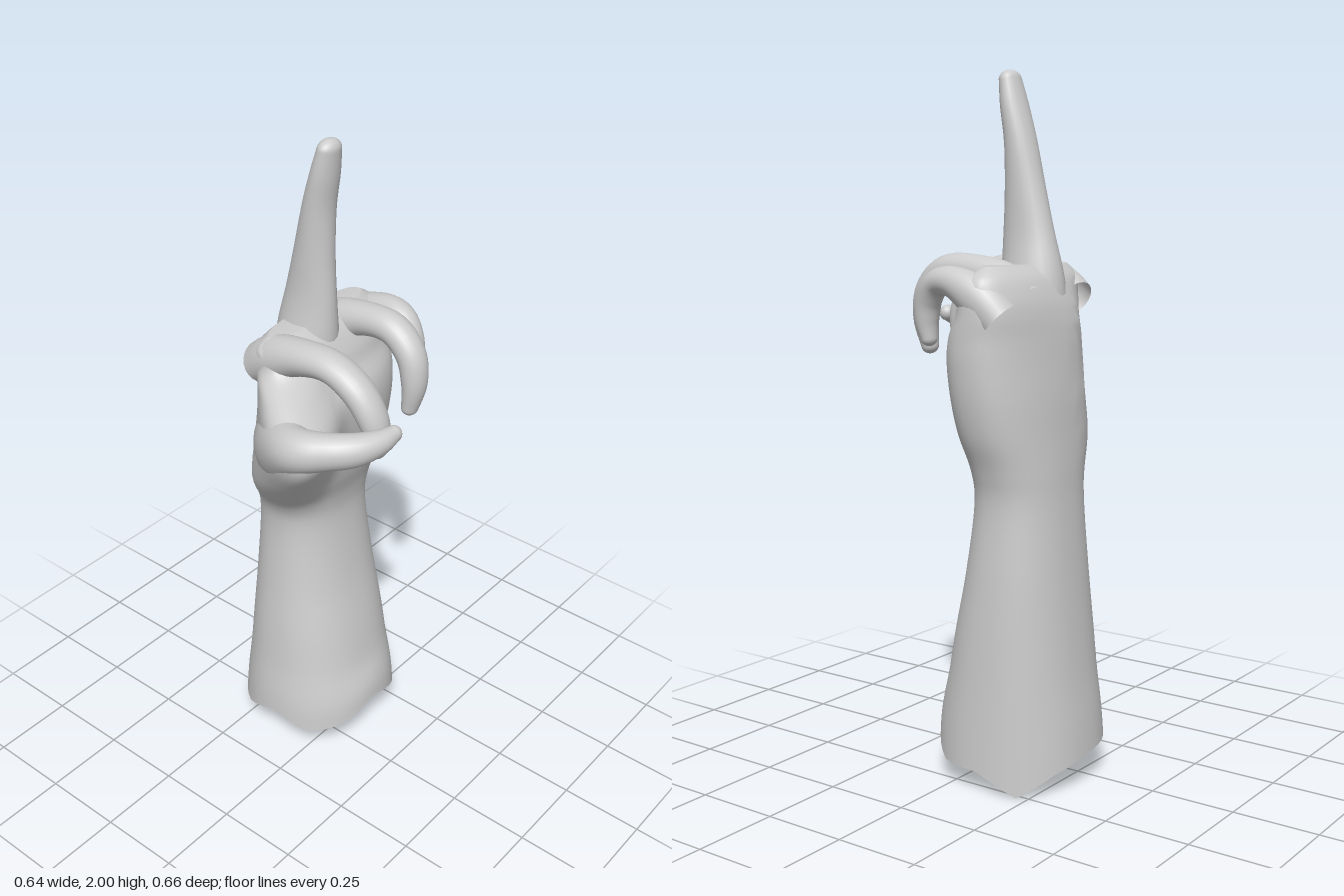
import * as THREE from 'three';

const material = new THREE.MeshStandardMaterial({ color: 0xcccccc, roughness: 0.8, side: THREE.DoubleSide });

// Joins equally sized rings of Vector3 into a smooth skin, closed at the end
function skin(name, rings) {
  const n = rings[0].length, verts = [], index = [];
  rings.forEach(ring => ring.forEach(p => verts.push(p.x, p.y, p.z)));
  for (let i = 0; i < rings.length - 1; i++) {
    for (let j = 0; j < n; j++) {
      const a = i * n + j, b = i * n + (j + 1) % n;
      index.push(a, a + n, b, b, a + n, b + n);
    }
  }
  const last = rings[rings.length - 1], centre = new THREE.Vector3();
  last.forEach(p => centre.addScaledVector(p, 1 / n));
  verts.push(centre.x, centre.y, centre.z);
  const base = (rings.length - 1) * n;
  for (let j = 0; j < n; j++) index.push(base + j, rings.length * n, base + (j + 1) % n);
  const geometry = new THREE.BufferGeometry();
  geometry.setAttribute('position', new THREE.Float32BufferAttribute(verts, 3));
  geometry.setIndex(index);
  geometry.computeVertexNormals();
  const mesh = new THREE.Mesh(geometry, material);
  mesh.name = name;
  return mesh;
}

// Smooth interpolation of one column of a table of rows
function sample(rows, column, t) {
  const f = t * (rows.length - 1), i = Math.min(Math.floor(f), rows.length - 2), u = f - i;
  const at = k => rows[Math.max(0, Math.min(rows.length - 1, k))][column];
  const [a, b, c, d] = [at(i - 1), at(i), at(i + 1), at(i + 2)];
  return b + 0.5 * u * (c - a + u * (2 * a - 5 * b + 4 * c - d + u * (3 * (b - c) + d - a)));
}

// Tapered digit; rows are x, y, z, thickness radius, width radius
function digit(name, rows, widthAxis) {
  const n = 24, steps = 36, rings = [];
  const centre = t => new THREE.Vector3(sample(rows, 0, t), sample(rows, 1, t), sample(rows, 2, t));
  const ring = (p, tangent, rU, rV) => {
    const v = widthAxis.clone().addScaledVector(tangent, -widthAxis.dot(tangent)).normalize();
    const u = tangent.clone().cross(v);
    return Array.from({ length: n }, (_, j) => {
      const a = j / n * Math.PI * 2;
      return p.clone().addScaledVector(u, Math.cos(a) * rU).addScaledVector(v, Math.sin(a) * rV);
    });
  };
  let p, tangent, rU, rV;
  for (let i = 0; i <= steps; i++) {
    const t = i / steps;
    p = centre(t);
    tangent = centre(Math.min(1, t + 0.01)).sub(centre(Math.max(0, t - 0.01))).normalize();
    rU = sample(rows, 3, t);
    rV = sample(rows, 4, t);
    rings.push(ring(p, tangent, rU, rV));
  }
  // Rounded fingertip
  for (let i = 1; i <= 7; i++) {
    const a = i / 7.3 * Math.PI / 2, c = Math.cos(a);
    rings.push(ring(p.clone().addScaledVector(tangent, Math.sin(a) * Math.min(rU, rV)), tangent, rU * c, rV * c));
  }
  return skin(name, rings);
}

// Forearm and palm; rows are y, x min, x max, z min, z max, lean of the thumb side
function forearmAndPalm() {
  const rows = [
    [0.00, -0.322, 0.130, -0.295, 0.172, 0],
    [0.15, -0.314, 0.120, -0.290, 0.164, 0],
    [0.40, -0.295, 0.075, -0.280, 0.140, 0],
    [0.60, -0.280, 0.030, -0.268, 0.115, 0],
    [0.80, -0.265, 0.000, -0.255, 0.100, 0],
    [0.90, -0.260, 0.005, -0.270, 0.120, 0.05],
    [1.00, -0.255, 0.035, -0.303, 0.195, 0.25],
    [1.10, -0.252, 0.055, -0.323, 0.260, 0.50],
    [1.20, -0.246, 0.065, -0.332, 0.310, 0.65],
    [1.27, -0.240, 0.055, -0.332, 0.305, 0.65],
    [1.33, -0.230, 0.020, -0.330, 0.240, 0.50],
    [1.38, -0.215, 0.000, -0.325, 0.175, 0.20],
    [1.43, -0.190, -0.030, -0.310, 0.160, 0],
    [1.465, -0.155, -0.070, -0.260, 0.120, 0],
  ];
  // Ragged height of the open lower edge, every 30 degrees
  const edge = [0.17, 0.12, 0.1, 0.14, 0.09, 0.1, 0.09, 0.06, 0, 0.06, 0.06, 0.12];
  const n = 48, steps = 78, rings = [];
  const squash = v => Math.sign(v) * Math.pow(Math.abs(v), 0.88);
  for (let i = 0; i <= steps; i++) {
    const [y, x0, x1, z0, z1, lean] = [0, 1, 2, 3, 4, 5].map(c => sample(rows, c, i / steps));
    rings.push(Array.from({ length: n }, (_, j) => {
      const a = j / n * Math.PI * 2, e = j / n * 12, k = Math.floor(e);
      const rim = THREE.MathUtils.lerp(edge[k], edge[(k + 1) % 12], e - k);
      const z = (z0 + z1) / 2 + squash(Math.sin(a)) * (z1 - z0) / 2;
      const x = (x0 + x1) / 2 + squash(Math.cos(a)) * (x1 - x0) / 2 + lean * Math.max(0, z - 0.02);
      return new THREE.Vector3(x, y + rim * Math.max(0, 1 - y / 0.3), z);
    }));
  }
  return skin('forearmAndPalm', rings);
}

export function createModel() {
  const group = new THREE.Group();
  group.name = 'hand';
  const across = new THREE.Vector3(0, 0, 1), up = new THREE.Vector3(0, 1, 0);
  group.add(forearmAndPalm());

  group.add(digit('middleFinger', [
    [-0.125, 1.30, -0.04, 0.095, 0.090],
    [-0.115, 1.42, -0.04, 0.095, 0.075],
    [-0.102, 1.54, -0.04, 0.080, 0.056],
    [-0.090, 1.66, -0.04, 0.062, 0.051],
    [-0.073, 1.80, -0.04, 0.045, 0.050],
    [-0.052, 1.90, -0.04, 0.036, 0.048],
    [-0.038, 1.97, -0.04, 0.028, 0.040],
  ], across));

  group.add(digit('indexFinger', [
    [-0.165, 1.36, 0.095, 0.060, 0.065],
    [-0.100, 1.40, 0.105, 0.065, 0.062],
    [0.000, 1.435, 0.110, 0.050, 0.055],
    [0.100, 1.440, 0.108, 0.042, 0.052],
    [0.185, 1.395, 0.106, 0.042, 0.050],
    [0.235, 1.315, 0.100, 0.038, 0.045],
    [0.242, 1.235, 0.092, 0.025, 0.032],
  ], across));

  group.add(digit('ringFinger', [
    [-0.165, 1.36, -0.150, 0.060, 0.062],
    [-0.100, 1.41, -0.155, 0.063, 0.058],
    [0.000, 1.445, -0.157, 0.048, 0.050],
    [0.095, 1.445, -0.157, 0.044, 0.048],
    [0.160, 1.390, -0.153, 0.042, 0.045],
    [0.180, 1.310, -0.148, 0.036, 0.040],
    [0.172, 1.230, -0.142, 0.024, 0.028],
  ], across));

  group.add(digit('littleFinger', [
    [-0.160, 1.32, -0.260, 0.060, 0.060],
    [-0.100, 1.38, -0.275, 0.060, 0.056],
    [-0.020, 1.420, -0.276, 0.044, 0.047],
    [0.045, 1.415, -0.268, 0.038, 0.042],
    [0.083, 1.365, -0.260, 0.036, 0.038],
    [0.092, 1.310, -0.257, 0.031, 0.034],
    [0.085, 1.262, -0.255, 0.022, 0.026],
  ], across));

  group.add(digit('thumb', [
    [-0.080, 1.14, 0.120, 0.080, 0.110],
    [0.010, 1.21, 0.210, 0.078, 0.100],
    [0.105, 1.262, 0.268, 0.064, 0.066],
    [0.185, 1.280, 0.247, 0.050, 0.053],
    [0.245, 1.286, 0.198, 0.044, 0.047],
    [0.280, 1.295, 0.140, 0.034, 0.036],
    [0.293, 1.305, 0.092, 0.022, 0.024],
  ], up));
  return group;
}
